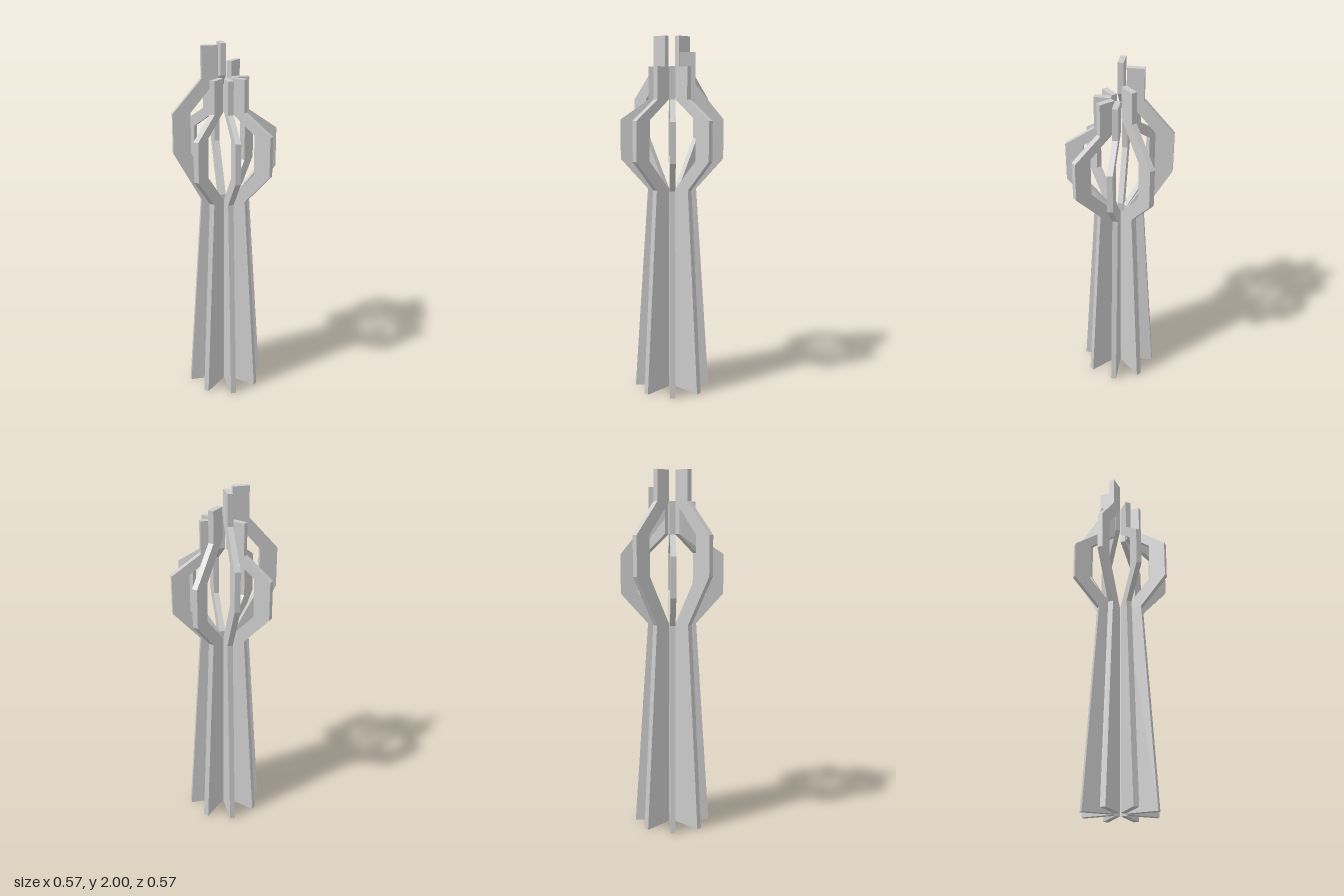
import * as THREE from 'three';

const THICKNESS = 0.03;

// Heights: [ring lower corner, ring upper corner, neck, tip]
const SHORT = [1.33, 1.547, 1.657, 1.833];
const MEDIUM = [1.33, 1.547, 1.74, 1.91];
const TALL = [1.436, 1.655, 1.833, 2.0];

// Flat upright fin: tapering leg, outward bend around the open middle, straight tip
function finGeometry([low, high, neck, tip]) {
  const outline = [
    [0.04, 0], [0.213, 0], [0.135, 1.163], [0.285, low], [0.285, high],
    [0.128, neck], [0.128, tip], [0.04, tip], [0.04, neck],
    [0.19, high], [0.19, low], [0.04, 1.163],
  ];
  const shape = new THREE.Shape(outline.map(([r, y]) => new THREE.Vector2(r, y)));
  const geometry = new THREE.ExtrudeGeometry(shape, { depth: THICKNESS, bevelEnabled: false });
  return geometry.translate(0, 0, -THICKNESS / 2);
}

export function createModel() {
  const model = new THREE.Group();
  model.name = 'finTower';
  const material = new THREE.MeshStandardMaterial({ color: 0xcccccc, flatShading: true });

  // Eight fins around the axis, starting at +x and turning towards the back
  const kinds = [SHORT, SHORT, MEDIUM, TALL, SHORT, TALL, SHORT, SHORT];
  kinds.forEach((heights, i) => {
    const fin = new THREE.Mesh(finGeometry(heights), material);
    fin.name = `fin${i + 1}`;
    fin.rotation.y = (i * Math.PI) / 4;
    model.add(fin);
  });
  return model;
}
